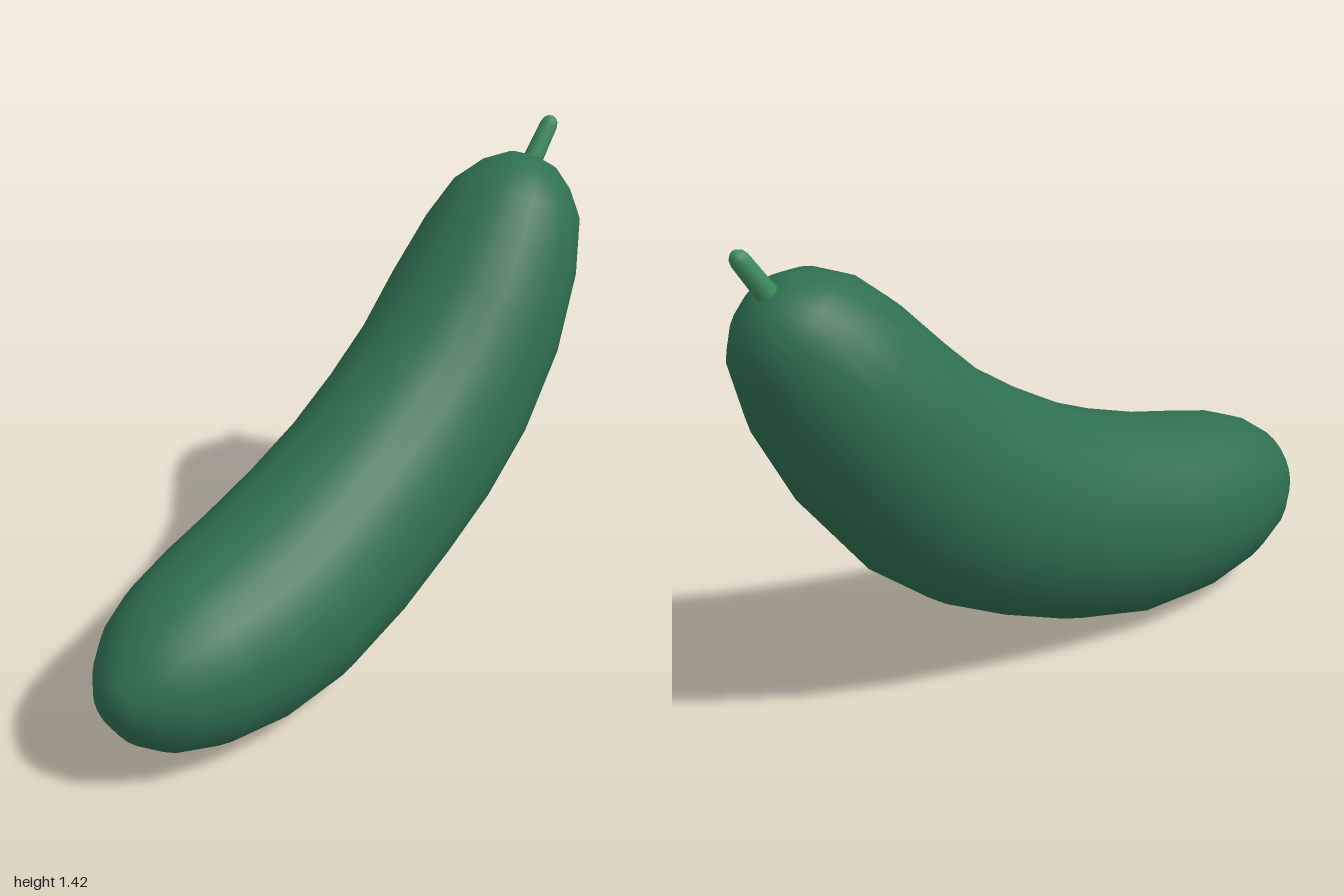
import * as THREE from 'three';
import { mergeVertices } from 'three/addons/utils/BufferGeometryUtils.js';

const SIDES = 24;

// Sections from blossom end to stem end: upper z, y; lower z, y; half width
const SECTIONS = [
  [1.0, 0.31, 1.0, 0.31, 0],
  [0.98, 0.38, 0.985, 0.23, 0.075],
  [0.91, 0.455, 0.94, 0.16, 0.14],
  [0.83, 0.51, 0.86, 0.095, 0.2],
  [0.72, 0.555, 0.72, 0.04, 0.25],
  [0.57, 0.592, 0.51, 0.008, 0.285],
  [0.41, 0.63, 0.27, 0.018, 0.3],
  [0.23, 0.69, 0.0, 0.088, 0.298],
  [0.05, 0.765, -0.23, 0.185, 0.294],
  [-0.12, 0.86, -0.44, 0.295, 0.294],
  [-0.27, 0.96, -0.64, 0.455, 0.293],
  [-0.41, 1.09, -0.82, 0.685, 0.284],
  [-0.54, 1.22, -0.945, 0.92, 0.25],
  [-0.64, 1.3, -0.997, 1.1, 0.205],
  [-0.74, 1.34, -0.99, 1.185, 0.145],
  [-0.83, 1.345, -0.97, 1.25, 0.08],
  [-0.912, 1.312, -0.912, 1.312, 0],
];

// Skin of elliptical rings, closed at both ends
function bodyGeometry() {
  const positions = [];
  const index = [];
  SECTIONS.forEach(([tz, ty, bz, by, w], i) => {
    for (let j = 0; j < SIDES; j++) {
      const a = (j / SIDES) * Math.PI * 2;
      const s = Math.sin(a) / 2;
      positions.push(w * Math.cos(a), (ty + by) / 2 + (ty - by) * s, (tz + bz) / 2 + (tz - bz) * s);
      if (i === SECTIONS.length - 1) continue;
      const p = i * SIDES + j;
      const q = i * SIDES + ((j + 1) % SIDES);
      if (i < SECTIONS.length - 2) index.push(p, p + SIDES, q + SIDES);
      else index.push(p, p + SIDES, q);
      if (i > 0 && i < SECTIONS.length - 2) index.push(p, q + SIDES, q);
    }
  });
  let geometry = new THREE.BufferGeometry();
  geometry.setAttribute('position', new THREE.Float32BufferAttribute(positions, 3));
  geometry.setIndex(index);
  geometry = mergeVertices(geometry, 1e-5);
  geometry.computeVertexNormals();
  return geometry;
}

export function createModel() {
  const skin = new THREE.MeshStandardMaterial({ color: 0x2f6f50 });
  skin.name = 'dark green skin';
  const stalk = new THREE.MeshStandardMaterial({ color: 0x3d8b5c });
  stalk.name = 'light green stalk';

  const model = new THREE.Group();
  model.name = 'cucumber';

  const body = new THREE.Mesh(bodyGeometry(), skin);
  body.name = 'body';
  model.add(body);

  // Short round-tipped stem, leaning back with the body
  const profile = [[0.031, 0], [0.029, 0.06], [0.027, 0.13], [0.022, 0.147], [0.012, 0.157], [0, 0.16]];
  const stem = new THREE.Mesh(
    new THREE.LatheGeometry(profile.map(([r, y]) => new THREE.Vector2(r, y)), 12), stalk);
  stem.name = 'stem';
  stem.position.set(-0.003, 1.293, -0.893);
  stem.quaternion.setFromUnitVectors(
    new THREE.Vector3(0, 1, 0), new THREE.Vector3(0.014, 0.13, -0.085).normalize());
  model.add(stem);

  return model;
}
